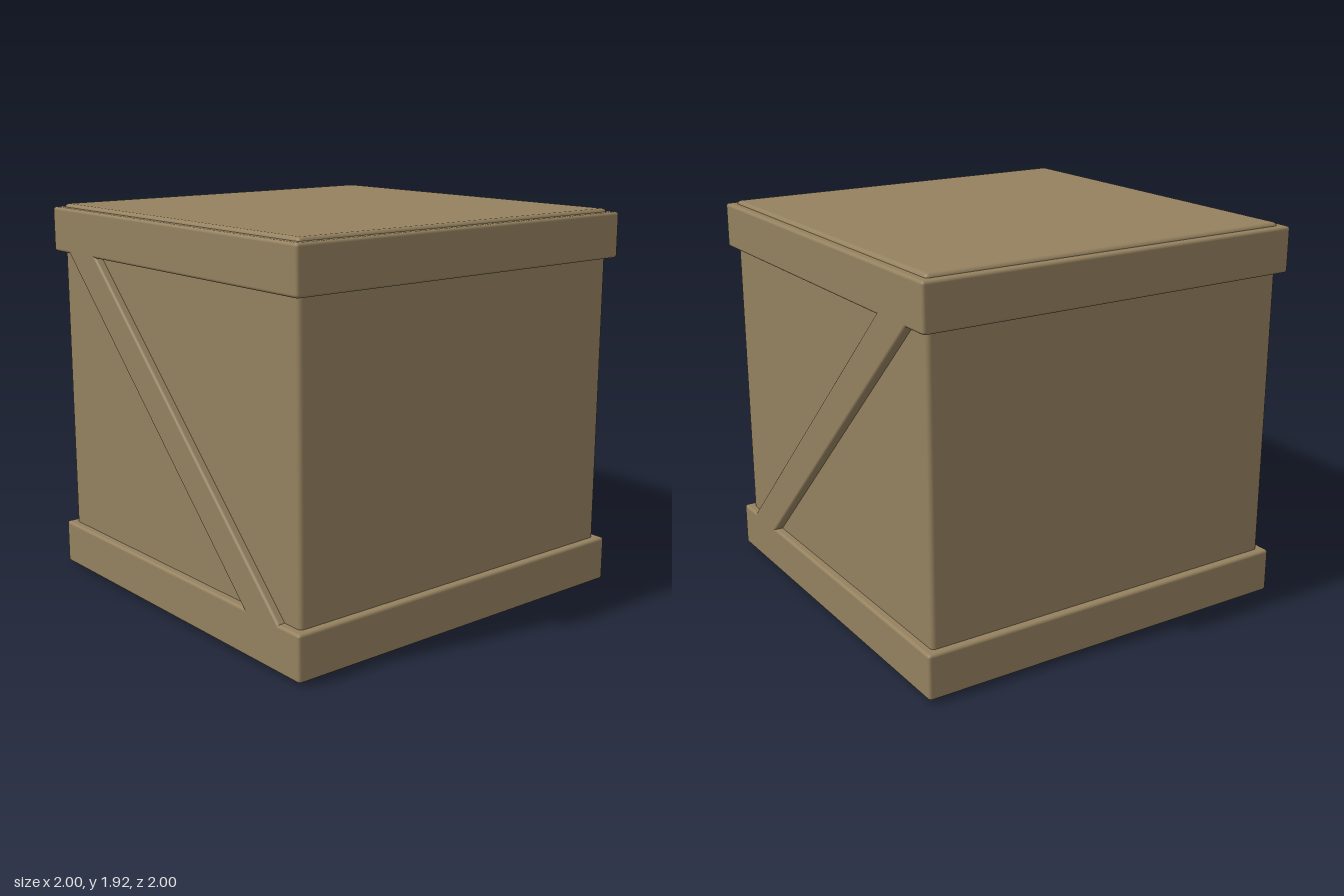
import * as THREE from 'three';
import { RoundedBoxGeometry } from 'three/addons/geometries/RoundedBoxGeometry.js';

export function createModel() {
  const crate = new THREE.Group();
  crate.name = 'crate';

  const wood = new THREE.MeshStandardMaterial({ color: 0x94815f });
  wood.name = 'brown wood';

  const midY = 0.963;

  function addBlock(name, w, h, d, radius, x, y, z) {
    const mesh = new THREE.Mesh(new RoundedBoxGeometry(w, h, d, 3, radius), wood);
    mesh.name = name;
    mesh.position.set(x, y, z);
    crate.add(mesh);
    return mesh;
  }

  // Main box, slightly taller than the rims
  addBlock('body', 1.92, 1.925, 1.92, 0.022, 0, midY, 0);

  // Bands around the bottom and top
  addBlock('bottomBand', 2, 0.224, 2, 0.015, 0, midY - 0.834, 0);
  addBlock('topBand', 2, 0.224, 2, 0.015, 0, midY + 0.834, 0);

  // Diagonal braces, low at the front and high at the back, ends sunk in the bands
  for (const side of [1, -1]) {
    const name = side > 0 ? 'leftBrace' : 'rightBrace';
    const brace = addBlock(name, 0.1, 0.182, 2.32, 0.015, side * 0.95, midY, 0);
    brace.rotation.x = Math.PI / 4;
  }

  return crate;
}
